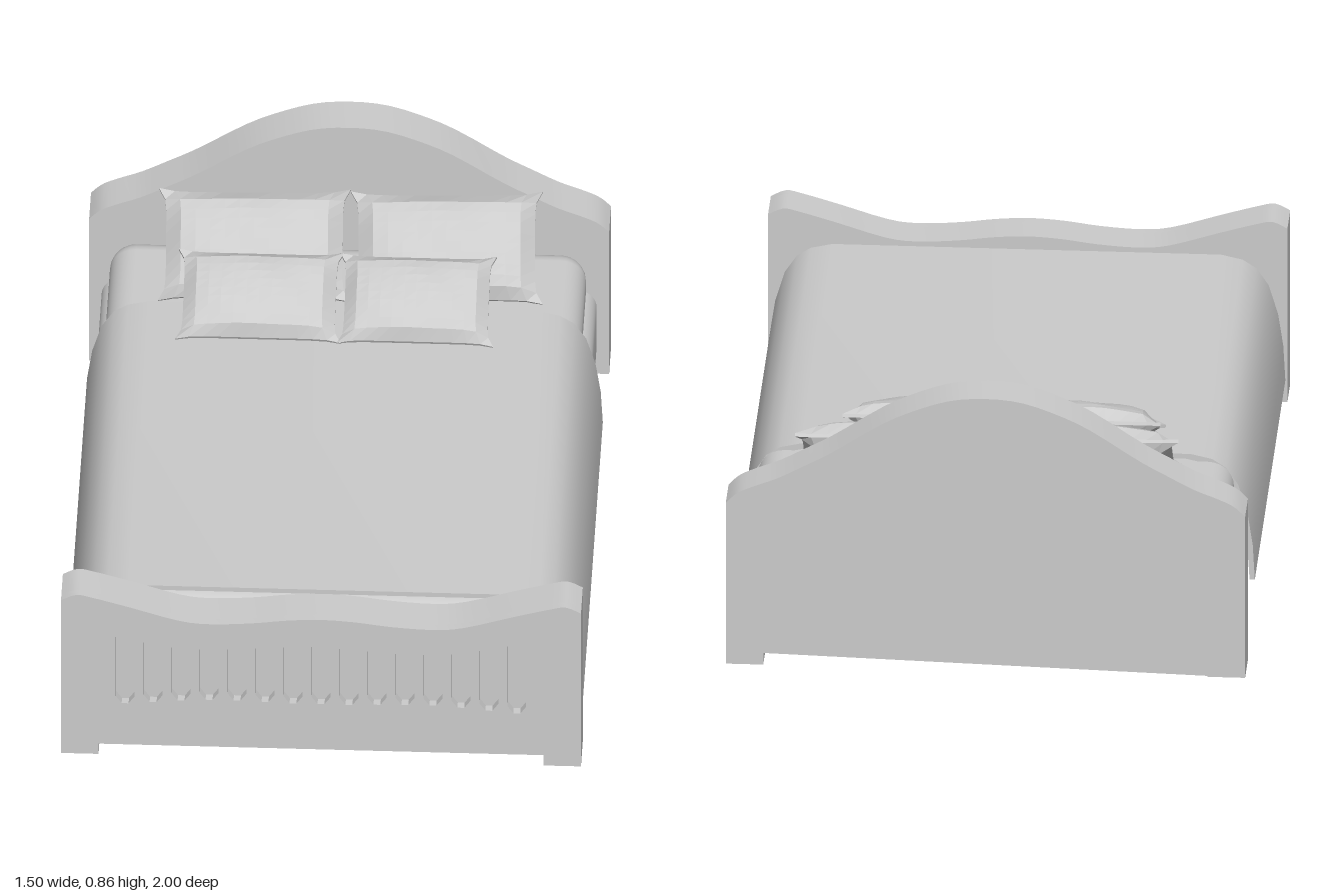
import * as THREE from 'three';
import { toCreasedNormals } from 'three/addons/utils/BufferGeometryUtils.js';
import { RoundedBoxGeometry } from 'three/addons/geometries/RoundedBoxGeometry.js';

const grey = new THREE.MeshStandardMaterial({ color: 0xcccccc, side: THREE.DoubleSide });
const facetedGrey = new THREE.MeshStandardMaterial({ color: 0xcccccc, flatShading: true });

function add(parent, name, geometry, material = grey) {
  const mesh = new THREE.Mesh(geometry, material);
  mesh.name = name;
  parent.add(mesh);
  return mesh;
}

const toVectors = (points) => points.map(([x, y]) => new THREE.Vector2(x, y));
const mirrored = (points) => [...points].reverse().map(([x, y]) => [-x, y]);

// Extrude a front-facing shape between two depths
function extrude(shape, z0, z1) {
  const geo = new THREE.ExtrudeGeometry(shape, { depth: z1 - z0, bevelEnabled: false, curveSegments: 5 });
  geo.translate(0, 0, z0);
  return geo;
}
const slab = (shape, z0, z1) => toCreasedNormals(extrude(shape, z0, z1), 0.5);

// Board outline: symmetric curved top (edge to middle) over two feet
function boardShape(half) {
  const bottom = [[-0.748, 0], [-0.64, 0], [-0.64, 0.037], [0.64, 0.037], [0.64, 0], [0.748, 0]];
  const top = new THREE.SplineCurve(toVectors([...half, ...mirrored(half.slice(0, -1))])).getPoints(48);
  return new THREE.Shape([...toVectors(bottom), ...top]);
}

// Narrow slot with clipped corners
function slot(x, y0, y1) {
  const w = 0.027, t = 0.01, c = 0.025;
  return new THREE.Path(toVectors([
    [x - t, y0], [x - w, y0 + c], [x - w, y1 - c], [x - t, y1],
    [x + t, y1], [x + w, y1 - c], [x + w, y0 + c], [x + t, y0],
  ]));
}

// Rectangle with rounded corners
function roundedRect(hw, y0, y1, r) {
  const s = new THREE.Shape();
  s.moveTo(-hw + r, y0);
  s.absarc(hw - r, y0 + r, r, -Math.PI / 2, 0);
  s.absarc(hw - r, y1 - r, r, 0, Math.PI / 2);
  s.absarc(-hw + r, y1 - r, r, Math.PI / 2, Math.PI);
  s.absarc(-hw + r, y0 + r, r, Math.PI, Math.PI * 1.5);
  return s;
}

// Blanket section: a thin arch with broad sloping shoulders
function blanketShape(t) {
  const outer = [[0.745, 0.09], [0.739, 0.2], [0.724, 0.3], [0.697, 0.39],
    [0.662, 0.443], [0.622, 0.469], [0.56, 0.483]];
  const inner = outer.map(([x, y], i) => [x - t, i ? y - t : y]);
  return new THREE.Shape(toVectors([
    ...outer, ...mirrored(outer), ...mirrored(inner).reverse(), ...inner.reverse(),
  ]));
}

// Cushion: puffed middle, thin seam, and corners drawn out into ears
function pillowGeometry(hw, hd, ht) {
  const geo = new THREE.BoxGeometry(2, 2, 2, 12, 10, 1);
  const p = geo.attributes.position;
  for (let i = 0; i < p.count; i++) {
    const u = p.getX(i), v = p.getY(i), side = Math.sign(p.getZ(i));
    const puff = Math.pow(Math.max(0, (1 - u * u) * (1 - v * v)), 0.4);
    const wrinkle = 1 + 0.05 * Math.sin(7 * u + 4 * v);
    p.setXYZ(i,
      u * hw * (1 - 0.08 * (1 - v ** 8)),
      v * hd * (1 - 0.07 * (1 - u ** 8)),
      side * (0.005 + ht * puff * wrinkle));
  }
  geo.rotateX(-Math.PI / 2);
  geo.computeVertexNormals();
  return geo;
}

export function createModel() {
  const bed = new THREE.Group();
  bed.name = 'bed';

  // Headboard, the rear lower edge sagging towards one foot
  const headTop = [[0.748, 0.51], [0.715, 0.542], [0.665, 0.566], [0.6, 0.592], [0.52, 0.635],
    [0.44, 0.68], [0.3, 0.772], [0.2, 0.82], [0.1, 0.853], [0, 0.862]];
  const headGeo = extrude(boardShape(headTop), -1, -0.875);
  const p = headGeo.attributes.position;
  for (let i = 0; i < p.count; i++) {
    if (p.getZ(i) < -0.95 && p.getX(i) < -0.6 && Math.abs(p.getY(i) - 0.037) < 0.001) p.setY(i, 0.003);
  }
  add(bed, 'headboard', toCreasedNormals(headGeo, 0.5));

  // Footboard: solid back layer and a slotted front layer
  const footTop = [[0.748, 0.55], [0.705, 0.57], [0.66, 0.562], [0.55, 0.53], [0.41, 0.487],
    [0.32, 0.477], [0.2, 0.484], [0.1, 0.497], [0, 0.503]];
  const footboard = new THREE.Group();
  footboard.name = 'footboard';
  bed.add(footboard);
  add(footboard, 'footboardBack', slab(boardShape(footTop), 0.875, 0.975));
  const front = boardShape(footTop);
  const slotTops = [0.43, 0.425, 0.418, 0.412, 0.41, 0.415, 0.43, 0.448];
  const slotBottoms = [0.2, 0.2, 0.203, 0.205, 0.205, 0.2, 0.192, 0.185];
  for (let i = -7; i <= 7; i++) {
    const k = Math.abs(i);
    front.holes.push(slot(i * 0.0805, slotBottoms[k], slotTops[k]));
  }
  add(footboard, 'footboardSlottedFront', slab(front, 0.975, 1));

  // Base and mattress
  add(bed, 'base', slab(roundedRect(0.712, 0.035, 0.3, 0.06), -0.876, 0.876));
  add(bed, 'mattress', new RoundedBoxGeometry(1.37, 0.18, 1.75, 4, 0.075)).position.y = 0.37;

  // Blanket hanging over both sides
  add(bed, 'blanket', slab(blanketShape(0.015), -0.525, 0.83));

  // Pillows: x, y, z, half width, half depth, half thickness, tilt, turn
  const pillows = [
    ['backPillowRight', -0.265, 0.562, -0.7, 0.276, 0.168, 0.07, 0.65, 0.03],
    ['backPillowLeft', 0.288, 0.562, -0.71, 0.276, 0.168, 0.07, 0.65, 0.04],
    ['frontPillowRight', -0.24, 0.548, -0.475, 0.238, 0.145, 0.058, 0.46, 0],
    ['frontPillowLeft', 0.212, 0.548, -0.475, 0.225, 0.145, 0.058, 0.46, 0],
  ];
  for (const [name, x, y, z, hw, hd, ht, tilt, turn] of pillows) {
    const pillow = add(bed, name, pillowGeometry(hw, hd, ht), facetedGrey);
    pillow.rotation.set(tilt, turn, 0, 'YXZ');
    pillow.position.set(x, y, z);
  }
  return bed;
}
